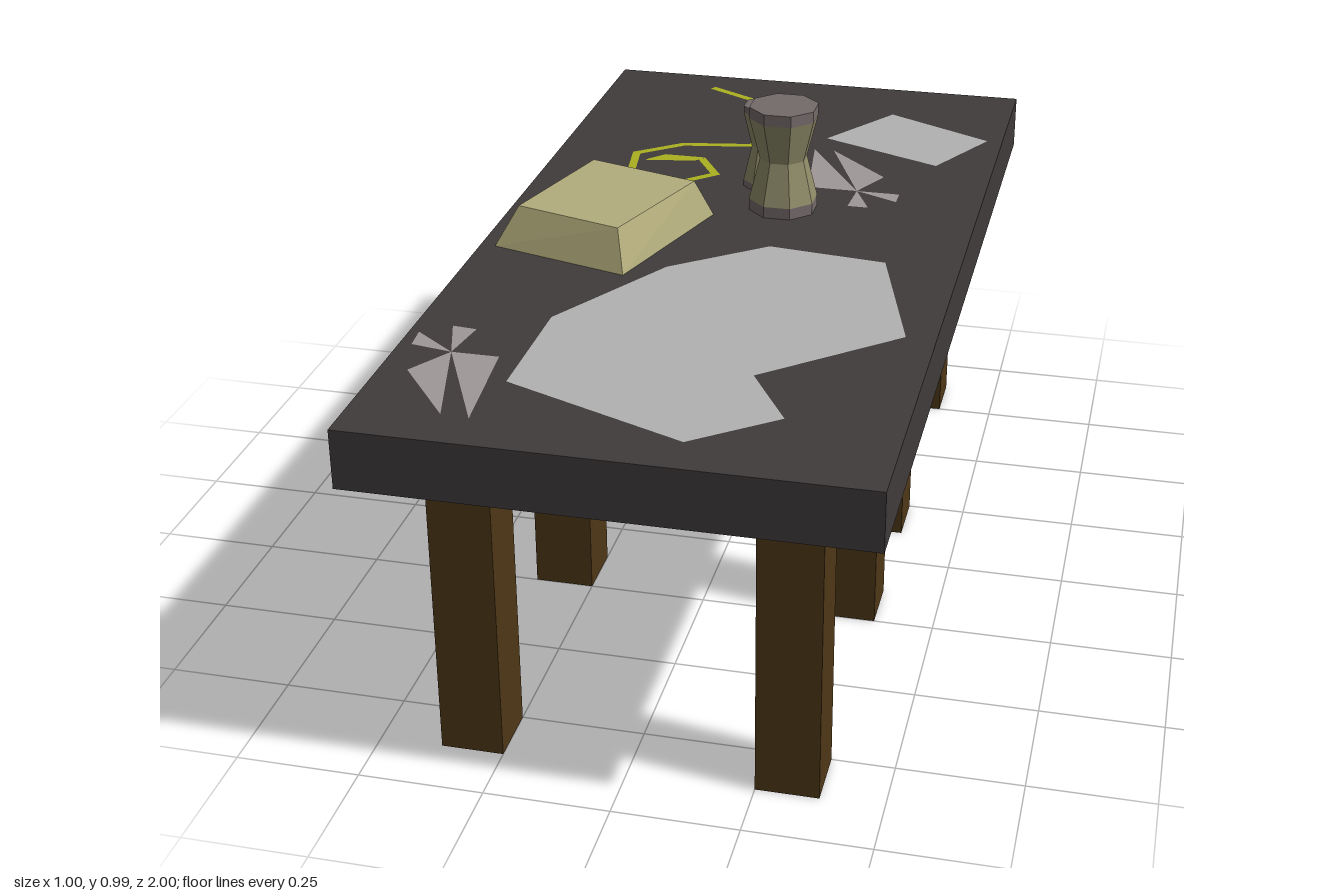
import * as THREE from 'three';

const material = (color) => new THREE.MeshStandardMaterial({ color, flatShading: true, side: THREE.DoubleSide });
const slate = material(0x403b3c);
const wood = material(0x4d3717);
const tan = material(0xb3ad7c);
const clay = material(0x746a6a);
const glaze = material(0x8f8c69);
const paper = material(0xb2b2b2);
const ash = material(0x9f9797);
const yellow = material(0xaab01e);

const TOP = 0.75;
const UNDER = 0.63;

// Box with chosen faces left out (0 +x, 1 -x, 2 +y, 3 -y, 4 +z, 5 -z)
function openBox(w, h, d, missing) {
  const g = new THREE.BoxGeometry(w, h, d);
  const index = Array.from(g.index.array).filter((_, i) => !missing.includes(Math.floor(i / 6)));
  g.setIndex(index);
  g.clearGroups();
  return g;
}

function add(parent, name, geometry, mat, x = 0, y = 0, z = 0) {
  const mesh = new THREE.Mesh(geometry, mat);
  mesh.name = name;
  mesh.position.set(x, y, z);
  parent.add(mesh);
  return mesh;
}

// Thin flat pieces lying on the table, outlined by [x, z] points
function flat(parent, name, outlines, mat) {
  const shapes = outlines.map((o) => new THREE.Shape(o.map(([x, z]) => new THREE.Vector2(x, -z))));
  add(parent, name, new THREE.ShapeGeometry(shapes).rotateX(-Math.PI / 2), mat, 0, TOP + 0.0006, 0);
}

// Wedges fanning out from one centre
function fan(parent, name, centre, wedges) {
  flat(parent, name, wedges.map(([a, b]) => [centre, a, b]), ash);
}

// Ribbon outline of constant width along a path
function ribbon(points, width) {
  const p = points.map(([x, z]) => new THREE.Vector2(x, z));
  const left = [], right = [];
  p.forEach((q, i) => {
    const a = q.clone().sub(p[Math.max(i - 1, 0)]).normalize();
    const b = p[Math.min(i + 1, p.length - 1)].clone().sub(q).normalize();
    const t = a.clone().add(b).normalize();
    const n = new THREE.Vector2(-t.y, t.x);
    const along = i === 0 ? b : a;
    const half = width / 2 / Math.max(0.5, t.dot(along));
    left.push([q.x + n.x * half, q.y + n.y * half]);
    right.unshift([q.x - n.x * half, q.y - n.y * half]);
  });
  return [...left, ...right];
}

// Solid between two four-cornered outlines
function frustum(base, top, height) {
  const g = new THREE.BoxGeometry(1, 1, 1);
  const pos = g.attributes.position;
  for (let i = 0; i < pos.count; i++) {
    const right = pos.getX(i) > 0, front = pos.getZ(i) > 0, up = pos.getY(i) > 0;
    const corner = front ? (right ? 2 : 3) : (right ? 1 : 0);
    const [x, z] = (up ? top : base)[corner];
    pos.setXYZ(i, x, up ? height : 0, z);
  }
  g.computeVertexNormals();
  return g;
}

// Eight-sided waisted vase with a foot and rim band
function vase(parent, name, x, z, halfWidth, waist, height, band) {
  const group = new THREE.Group();
  group.name = name;
  group.position.set(x, TOP, z);
  const k = 1 / Math.cos(Math.PI / 8);
  const section = (part, r0, r1, y0, y1, mat, open) => add(group, part,
    new THREE.CylinderGeometry(r1 * k, r0 * k, y1 - y0, 8, 1, open).rotateY(Math.PI / 8),
    mat, 0, (y0 + y1) / 2, 0);
  section('foot', halfWidth, halfWidth, 0, band, clay, false);
  section('lowerBody', halfWidth, waist, band, height / 2, glaze, true);
  section('upperBody', waist, halfWidth, height / 2, height - band, glaze, true);
  section('rim', halfWidth, halfWidth, height - band, height, clay, false);
  parent.add(group);
}

export function createModel() {
  const model = new THREE.Group();
  model.name = 'table';

  // Hollow table top, open underneath
  add(model, 'tableTop', openBox(1, TOP - UNDER, 2, [3]), slate, 0, (TOP + UNDER) / 2, 0);

  // Four pairs of square legs, open at the ends
  for (const z of [0.8125, 0.1875, -0.1875, -0.8125]) {
    for (const side of [-1, 1]) {
      add(model, side > 0 ? 'leftLeg' : 'rightLeg', openBox(0.125, UNDER, 0.125, [2, 3]), wood, side * 0.3125, UNDER / 2, z);
    }
  }

  // Sloped block
  add(model, 'slopedBlock', frustum(
    [[-0.35, -0.21], [-0.06, -0.115], [-0.167, 0.24], [-0.468, 0.155]],
    [[-0.34, -0.16], [-0.095, -0.085], [-0.187, 0.2], [-0.42, 0.13]], 0.086), tan, 0, TOP, 0);

  // Vases
  vase(model, 'largeVase', 0.078, -0.19, 0.07, 0.048, 0.235, 0.025);
  vase(model, 'smallVase', 0.014, -0.313, 0.047, 0.03, 0.188, 0.015);

  // Paper sheets
  flat(model, 'smallSheet', [[[0.22, -0.82], [0.465, -0.69], [0.37, -0.505], [0.095, -0.625]]], paper);
  flat(model, 'largeSheet', [[[0.095, 0.03], [0.345, 0.06], [0.44, 0.4], [0.19, 0.625], [0.28, 0.78],
    [0.125, 0.905], [-0.25, 0.75], [-0.25, 0.465], [-0.09, 0.18]]], paper);

  // Scattered wedge fans
  fan(model, 'backFan', [0.22, -0.315], [
    [[0.11, -0.315], [0.08, -0.55]],
    [[0.125, -0.55], [0.265, -0.41]],
    [[0.315, -0.315], [0.315, -0.27]],
    [[0.26, -0.225], [0.215, -0.225]],
  ]);
  fan(model, 'frontFan', [-0.39, 0.655], [
    [[-0.48, 0.585], [-0.475, 0.64]],
    [[-0.425, 0.545], [-0.375, 0.55]],
    [[-0.295, 0.655], [-0.27, 0.905]],
    [[-0.325, 0.9], [-0.445, 0.745]],
  ]);

  // Curled cord with a pointed end
  flat(model, 'cord', [
    ribbon([[-0.248, -0.912], [-0.085, -0.82], [-0.01, -0.69], [-0.068, -0.54], [-0.225, -0.512],
      [-0.318, -0.435], [-0.302, -0.328], [-0.19, -0.268], [-0.11, -0.345], [-0.162, -0.432]], 0.018),
    [[-0.155, -0.44], [-0.25, -0.44], [-0.29, -0.395], [-0.175, -0.415]],
  ], yellow);

  return model;
}
